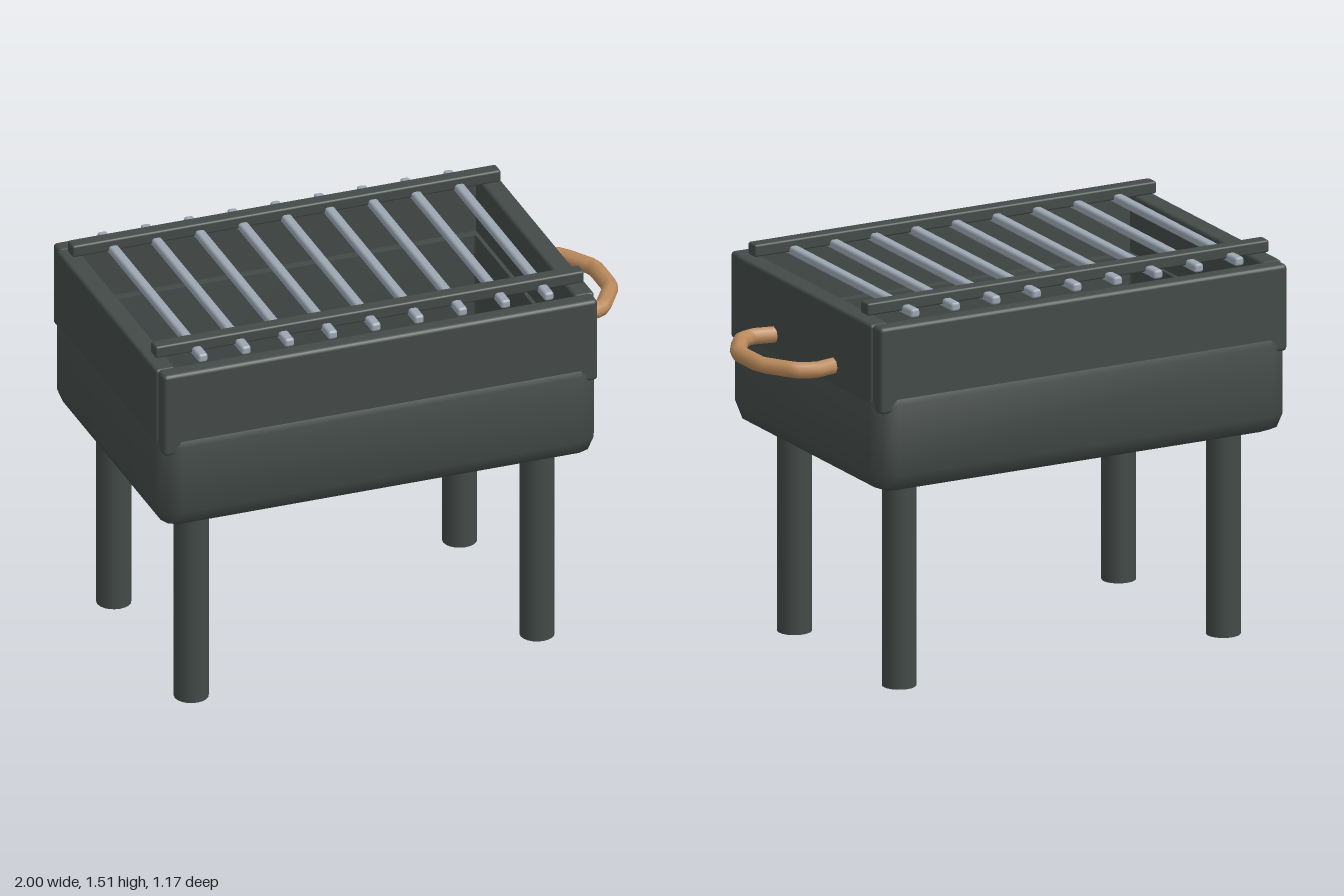
import * as THREE from 'three';
import { RoundedBoxGeometry } from 'three/addons/geometries/RoundedBoxGeometry.js';
import { toCreasedNormals } from 'three/addons/utils/BufferGeometryUtils.js';

// Skin of stacked rounded rectangles [halfX, halfZ, cornerRadius, y], capped at both ends
function loftRectangles(sections, steps = 2) {
  const positions = [], index = [];
  const count = 4 * (steps + 1);
  for (const [hx, hz, r, y] of sections) {
    for (let corner = 0; corner < 4; corner++) {
      const sx = corner === 0 || corner === 3 ? 1 : -1;
      const sz = corner < 2 ? 1 : -1;
      for (let i = 0; i <= steps; i++) {
        const a = (corner + i / steps) * Math.PI / 2;
        positions.push(sx * (hx - r) + r * Math.cos(a), y, sz * (hz - r) + r * Math.sin(a));
      }
    }
  }
  for (let s = 0; s < sections.length - 1; s++) {
    for (let i = 0; i < count; i++) {
      const a = s * count + i, b = s * count + (i + 1) % count;
      index.push(a, a + count, b, b, a + count, b + count);
    }
  }
  const last = (sections.length - 1) * count;
  for (let i = 1; i < count - 1; i++) {
    index.push(0, i, i + 1, last, last + i + 1, last + i);
  }
  const geometry = new THREE.BufferGeometry();
  geometry.setAttribute('position', new THREE.Float32BufferAttribute(positions, 3));
  geometry.setIndex(index);
  return toCreasedNormals(geometry, 0.9);
}

export function createModel() {
  const group = new THREE.Group();
  const material = (name, color) => {
    const m = new THREE.MeshStandardMaterial({ color });
    m.name = name;
    return m;
  };
  const iron = material('dark iron', 0x434a48);
  const steel = material('pale steel', 0x9ca7b3);
  const wood = material('wood', 0xbb8a5c);

  const add = (name, geometry, mat, x, y, z) => {
    const mesh = new THREE.Mesh(geometry, mat);
    mesh.name = name;
    mesh.position.set(x, y, z);
    group.add(mesh);
    return mesh;
  };
  // Rounded box given by its minimum and maximum on each axis
  const block = (name, x0, x1, y0, y1, z0, z1, radius) => add(
    name, new RoundedBoxGeometry(x1 - x0, y1 - y0, z1 - z0, 2, radius), iron,
    (x0 + x1) / 2, (y0 + y1) / 2, (z0 + z1) / 2);

  // Hollow fire box: rounded outside, rim and sunken floor
  const hx = 0.87, hz = 0.585, r = 0.08, bottom = 0.79, top = 1.22;
  const sections = [];
  const roundEdge = (y, from) => {
    for (let i = 0; i <= 2; i++) {
      const a = from + i * Math.PI / 4;
      const inset = r * (1 - Math.cos(a));
      sections.push([hx - inset, hz - inset, Math.max(r - inset, 0.008), y + r * Math.sin(a)]);
    }
  };
  roundEdge(bottom + r, -Math.PI / 2);
  roundEdge(top - r, 0);
  sections.push([0.775, 0.47, 0.008, top], [0.775, 0.47, 0.008, 0.87]);
  add('fireBox', loftRectangles(sections), iron, -0.13, 0, 0);

  // Raised walls around the tray
  block('leftWall', 0.66, 0.739, 1.11, 1.445, -0.515, 0.515, 0.012);
  block('rightWall', -0.999, -0.92, 1.11, 1.445, -0.515, 0.515, 0.012);
  block('frontWall', -0.99, 0.73, 1.11, 1.445, 0.505, 0.576, 0.015);
  block('backWall', -0.99, 0.73, 1.11, 1.445, -0.576, -0.505, 0.015);

  // Four round legs
  for (const x of [-0.815, 0.555]) {
    for (const z of [-0.4, 0.4]) {
      add('leg', new THREE.CylinderGeometry(0.065, 0.065, 0.84, 20), iron, x, 0.42, z);
    }
  }

  // Grill bars running front to back
  for (let i = 0; i < 9; i++) {
    add('grillBar', new RoundedBoxGeometry(0.038, 0.034, 1.056, 1, 0.01),
      steel, -0.815 + i * 0.1713, 1.467, 0);
  }

  // Rails holding the bars
  for (const z of [-0.43, 0.43]) {
    block('grillRail', -0.977, 0.72, 1.462, 1.51, z - 0.028, z + 0.028, 0.008);
  }

  // Bent side handle
  const half = [[0.71, 0.222], [0.825, 0.246], [0.885, 0.217], [0.967, 0.085]];
  const points = [...half, ...half.map(([x, z]) => [x, -z]).reverse()]
    .map(([x, z]) => new THREE.Vector3(x, 0, z));
  const path = new THREE.CatmullRomCurve3(points, false, 'catmullrom', 0.05);
  add('handle', new THREE.TubeGeometry(path, 24, 0.032, 8), wood, 0, 1.214, 0);

  return group;
}
